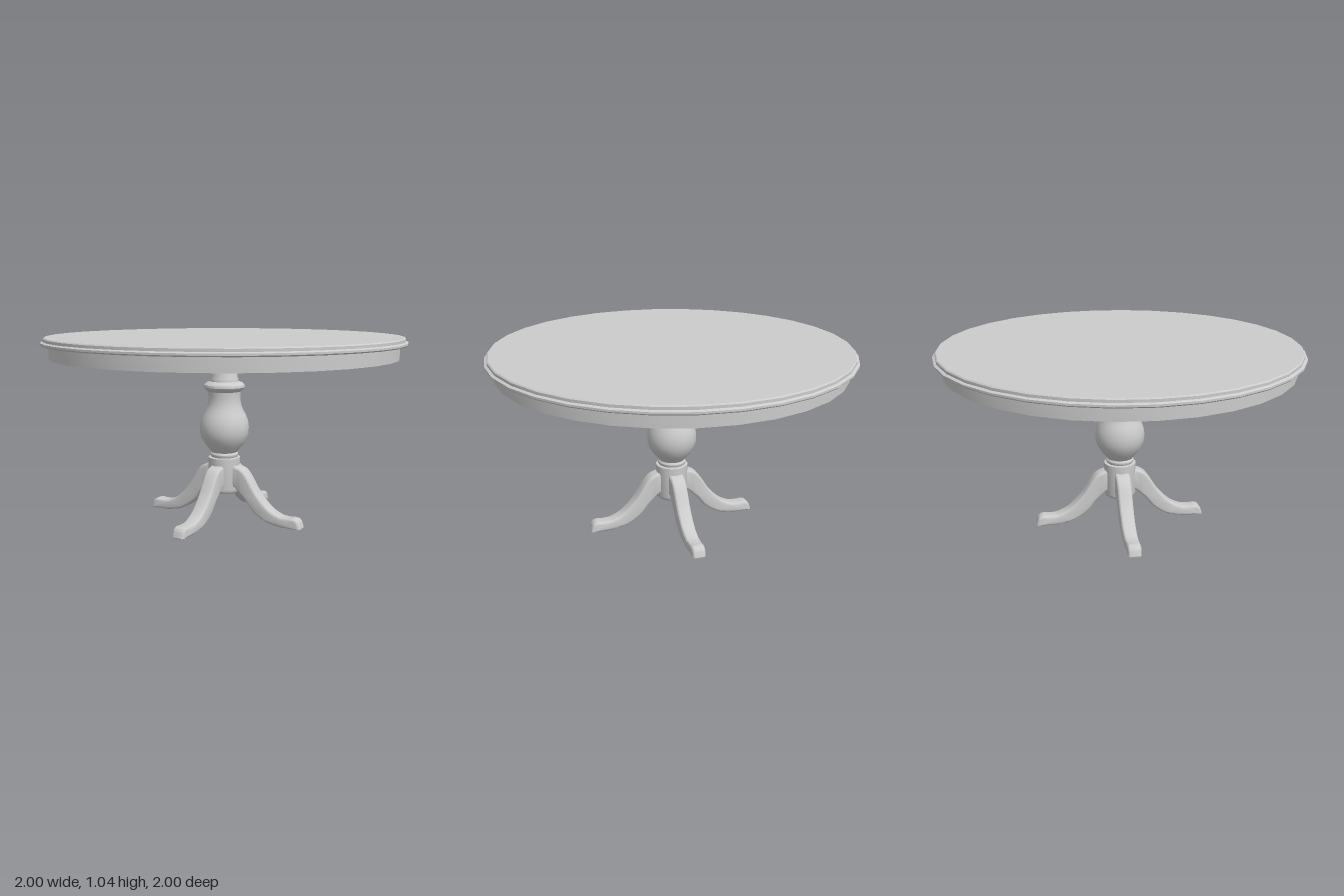
import * as THREE from 'three';
import { toCreasedNormals } from 'three/addons/utils/BufferGeometryUtils.js';

const material = new THREE.MeshStandardMaterial({ color: 0xcccccc });

function part(name, geometry, crease = 0.6) {
  const mesh = new THREE.Mesh(toCreasedNormals(geometry, crease), material);
  mesh.name = name;
  return mesh;
}

// Profile points are [radius, height], listed from the bottom upwards
function turned(name, profile, sides) {
  const points = profile.map(([r, y]) => new THREE.Vector2(r, y));
  return part(name, new THREE.LatheGeometry(points, sides));
}

const toVectors = (list) => list.map(([x, y]) => new THREE.Vector2(x, y));

// Side outline of one S-curved leg, extruded with rounded edges
function legGeometry() {
  const upper = [[0.13, 0.297], [0.165, 0.26], [0.225, 0.168], [0.295, 0.096],
    [0.36, 0.062], [0.41, 0.056], [0.45, 0.058], [0.475, 0.045], [0.49, 0.006]];
  const lower = [[0.375, 0], [0.28, 0.02], [0.2, 0.07], [0.145, 0.135], [0.085, 0.192]];
  const shape = new THREE.Shape();
  shape.moveTo(0.05, 0.195);
  shape.lineTo(0.05, 0.315);
  shape.lineTo(0.085, 0.315);
  shape.splineThru(toVectors(upper));
  shape.lineTo(0.488, 0);
  shape.lineTo(0.375, 0);
  shape.splineThru(toVectors(lower.slice(1)));
  shape.closePath();

  const width = 0.086, bevel = 0.014;
  const geometry = new THREE.ExtrudeGeometry(shape, {
    depth: width - 2 * bevel, curveSegments: 20,
    bevelThickness: bevel, bevelSize: bevel, bevelOffset: -bevel, bevelSegments: 3,
  });
  geometry.translate(0, 0, bevel - width / 2);
  // Narrow the leg slightly towards the foot
  const p = geometry.attributes.position;
  for (let i = 0; i < p.count; i++) p.setZ(i, p.getZ(i) * (1 - 0.3 * p.getX(i)));
  return geometry;
}

export function createModel() {
  const table = new THREE.Group();
  table.name = 'pedestalTable';

  // Round top with a stepped, softened edge
  table.add(turned('tableTop', [
    [0, 0.967], [0.87, 0.967], [0.87, 0.998], [0.994, 0.998], [1, 1.004], [1, 1.014],
    [0.986, 1.02], [0.986, 1.034], [0.98, 1.04], [0, 1.04],
  ], 32));

  // Ring-shaped apron under the top
  table.add(turned('apron', [
    [0.87, 1], [0.87, 0.925], [0.957, 0.925], [0.957, 1],
  ], 32));

  // Turned column: base drum, vase, collar and neck
  table.add(turned('column', [
    [0, 0.155], [0.08, 0.155], [0.088, 0.165], [0.09, 0.175], [0.09, 0.355],
    [0.074, 0.358], [0.079, 0.366], [0.079, 0.375], [0.072, 0.385], [0.08, 0.395],
    [0.105, 0.425], [0.127, 0.46], [0.138, 0.495], [0.139, 0.53], [0.134, 0.565],
    [0.12, 0.6], [0.103, 0.632], [0.093, 0.665], [0.09, 0.7], [0.092, 0.73],
    [0.108, 0.742], [0.116, 0.755], [0.114, 0.768], [0.1, 0.78], [0.08, 0.787],
    [0.079, 0.802], [0.073, 0.812], [0.072, 0.97],
  ], 32));

  // Four legs spread along the main axes
  for (let i = 0; i < 4; i++) {
    const leg = part('leg' + (i + 1), legGeometry());
    leg.rotation.y = i * Math.PI / 2;
    table.add(leg);
  }
  return table;
}
